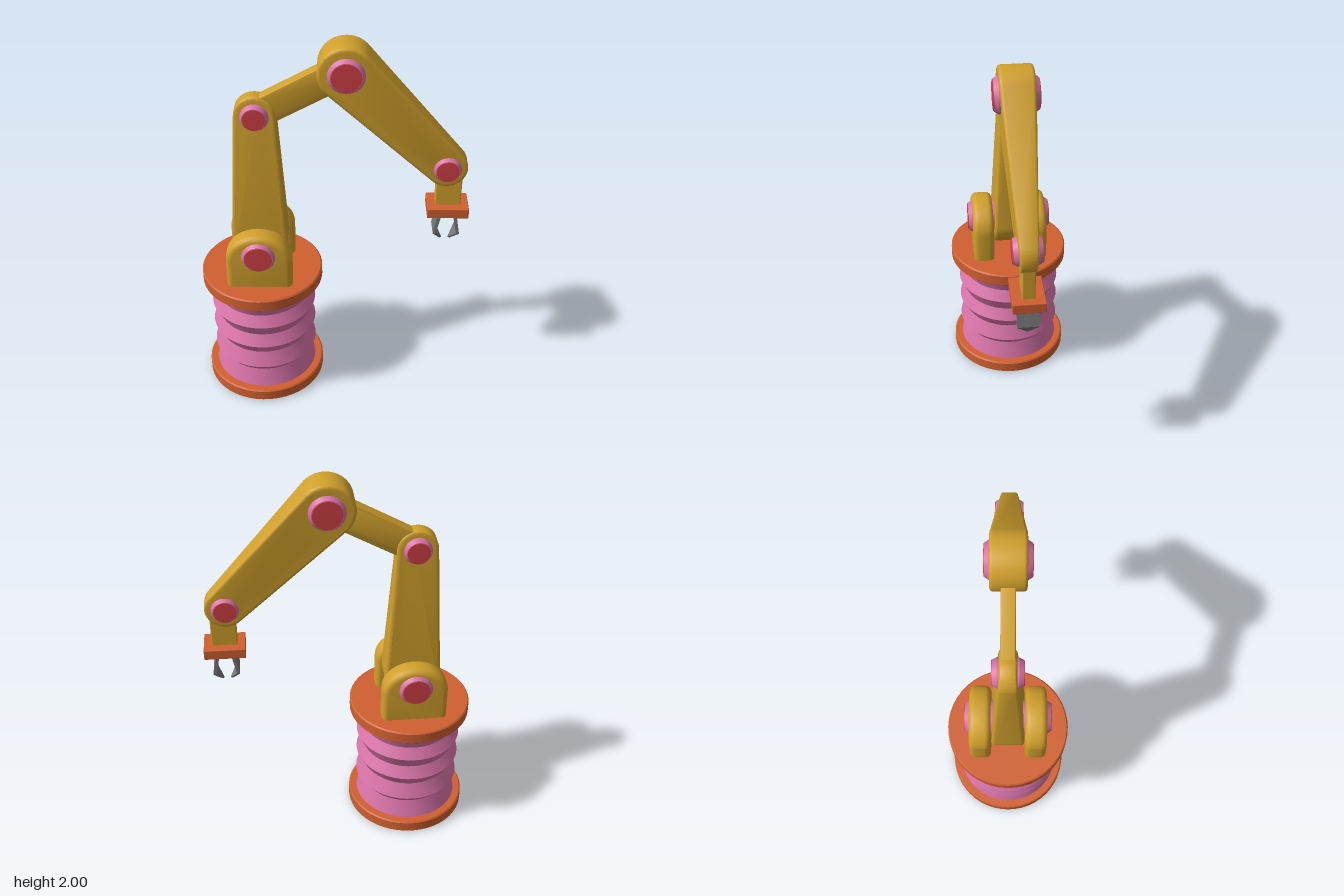
import * as THREE from 'three';
import { toCreasedNormals } from 'three/addons/utils/BufferGeometryUtils.js';
import { RoundedBoxGeometry } from 'three/addons/geometries/RoundedBoxGeometry.js';

const paint = (color) => new THREE.MeshStandardMaterial({ color });
const V = (x, y) => new THREE.Vector2(x, y);
const BASE_X = -0.375;

export function createModel() {
  const orange = paint(0xd0602f), pink = paint(0xd873a8), yellow = paint(0xd0a02c);
  const red = paint(0xd04044), steel = paint(0x77777a);
  const model = new THREE.Group();

  function add(name, geometry, material, parent = model) {
    const mesh = new THREE.Mesh(geometry, material);
    mesh.name = name;
    parent.add(mesh);
    return mesh;
  }

  const lathe = (points, segments = 48) =>
    toCreasedNormals(new THREE.LatheGeometry(points.map(([r, y]) => V(r, y)), segments), 0.45);

  // Extrudes a front outline to z = -half..half with rounded edges
  function slab(shape, half, bevel, segments = 4) {
    const g = new THREE.ExtrudeGeometry(shape, {
      depth: 2 * (half - bevel), curveSegments: 24, bevelEnabled: bevel > 0,
      bevelThickness: bevel, bevelSize: bevel, bevelOffset: -bevel, bevelSegments: segments,
    });
    return g.translate(0, 0, bevel - half);
  }

  // Arm with round ends at p and q, tapering in width (r) and thickness (h)
  function arm(name, p, q, r1, r2, h1, h2, bevel) {
    const d = q.clone().sub(p), length = d.length(), a = d.angle();
    const b = Math.acos((r1 - r2) / length);
    const shape = new THREE.Shape();
    shape.absarc(p.x, p.y, r1, a + b, a - b + 2 * Math.PI, false);
    shape.absarc(q.x, q.y, r2, a - b, a + b, false);
    shape.closePath();
    const g = slab(shape, h1, bevel);
    const pos = g.attributes.position;
    for (let i = 0; i < pos.count; i++) {
      const t = ((pos.getX(i) - p.x) * d.x + (pos.getY(i) - p.y) * d.y) / (length * length);
      pos.setZ(i, pos.getZ(i) * THREE.MathUtils.lerp(1, h2 / h1, Math.max(t, 0)));
    }
    return add(name, toCreasedNormals(g, 0.6), yellow);
  }

  // Pivot pin along z with a red cap on each end
  function pin(name, at, r, half) {
    const group = new THREE.Group();
    group.name = name;
    group.position.set(at.x, at.y, 0);
    const c = 0.022;
    const body = lathe([[0, -half], [r * 0.84, -half], [r, -half + c],
      [r, half - c], [r * 0.84, half], [0, half]], 32);
    add('pinBody', body.rotateX(Math.PI / 2), pink, group);
    for (const s of [-1, 1]) {
      const cap = lathe([[r * 0.83, -0.004], [r * 0.8, 0.003], [0, 0.004]], 32);
      const mesh = add('pinCap', cap.rotateX(Math.PI / 2), red, group);
      mesh.position.z = s * half;
      if (s < 0) mesh.rotation.y = Math.PI;
    }
    model.add(group);
  }

  // Base plates, the lower one closed underneath by a pink disc
  for (const [name, y] of [['basePlate', 0], ['turntable', 0.64]]) {
    const profile = [[0.313, 0], [0.32, 0.007], [0.32, 0.063], [0.313, 0.07], [0, 0.07]];
    if (y > 0) profile.unshift([0, 0]);
    add(name, lathe(profile), orange).position.set(BASE_X, y, 0);
  }
  const underside = add('underside', new THREE.CircleGeometry(0.313, 48), pink);
  underside.rotation.x = Math.PI / 2;
  underside.position.x = BASE_X;

  // Bellows between the plates
  const folds = [0.06, 0.168, 0.212, 0.295, 0.357, 0.42, 0.492, 0.552, 0.65];
  add('bellows', lathe(folds.map((y, i) => [i % 2 ? 0.246 : 0.28, y])), pink)
    .position.x = BASE_X;

  // Joint centres
  const base = V(BASE_X, 0.9), shoulder = V(BASE_X, 1.625);
  const elbow = V(0.065, 1.865), wrist = V(0.57, 1.34);

  // Pair of brackets holding the lower arm
  const outline = new THREE.Shape();
  outline.moveTo(BASE_X - 0.17, 0.66);
  outline.lineTo(BASE_X + 0.17, 0.66);
  outline.lineTo(BASE_X + 0.17, 0.87);
  outline.absellipse(BASE_X, 0.87, 0.17, 0.147, 0, Math.PI, false);
  outline.closePath();
  for (const s of [-1, 1]) {
    add('bracket', toCreasedNormals(slab(outline, 0.056, 0.03), 0.6), yellow)
      .position.z = s * 0.144;
  }

  // Arms
  arm('lowerArm', base, shoulder, 0.145, 0.102, 0.085, 0.045, 0.018);
  arm('linkArm', shoulder, elbow, 0.074, 0.074, 0.034, 0.034, 0.006);
  arm('forearm', elbow, wrist, 0.138, 0.102, 0.084, 0.045, 0.016);

  // Pivot pins
  pin('basePin', base, 0.088, 0.22);
  pin('shoulderPin', shoulder, 0.07, 0.072);
  pin('elbowPin', elbow, 0.09, 0.106);
  pin('wristPin', wrist, 0.07, 0.068);

  // Wrist post and gripper plate
  const gripX = 0.586;
  add('wristPost', new RoundedBoxGeometry(0.13, 0.24, 0.062, 2, 0.006), yellow)
    .position.set(gripX, 1.22, 0);
  add('gripperPlate', new RoundedBoxGeometry(0.21, 0.054, 0.158, 2, 0.004), orange)
    .position.set(gripX, 1.097, 0);

  // Two bent fingers whose tips narrow to a point
  for (const s of [-1, 1]) {
    const points = [[0.028, 1.08], [0.052, 0.957], [0.017, 0.9], [0.025, 0.894],
      [0.068, 0.957], [0.046, 1.08]];
    const g = slab(new THREE.Shape(points.map(([x, y]) => V(s * x, y))), 0.055, 0);
    const pos = g.attributes.position;
    for (let i = 0; i < pos.count; i++) {
      if (pos.getY(i) < 0.95) pos.setZ(i, pos.getZ(i) * 0.06);
    }
    g.computeVertexNormals();
    add('finger', g, steel).position.x = gripX;
  }

  return model;
}
